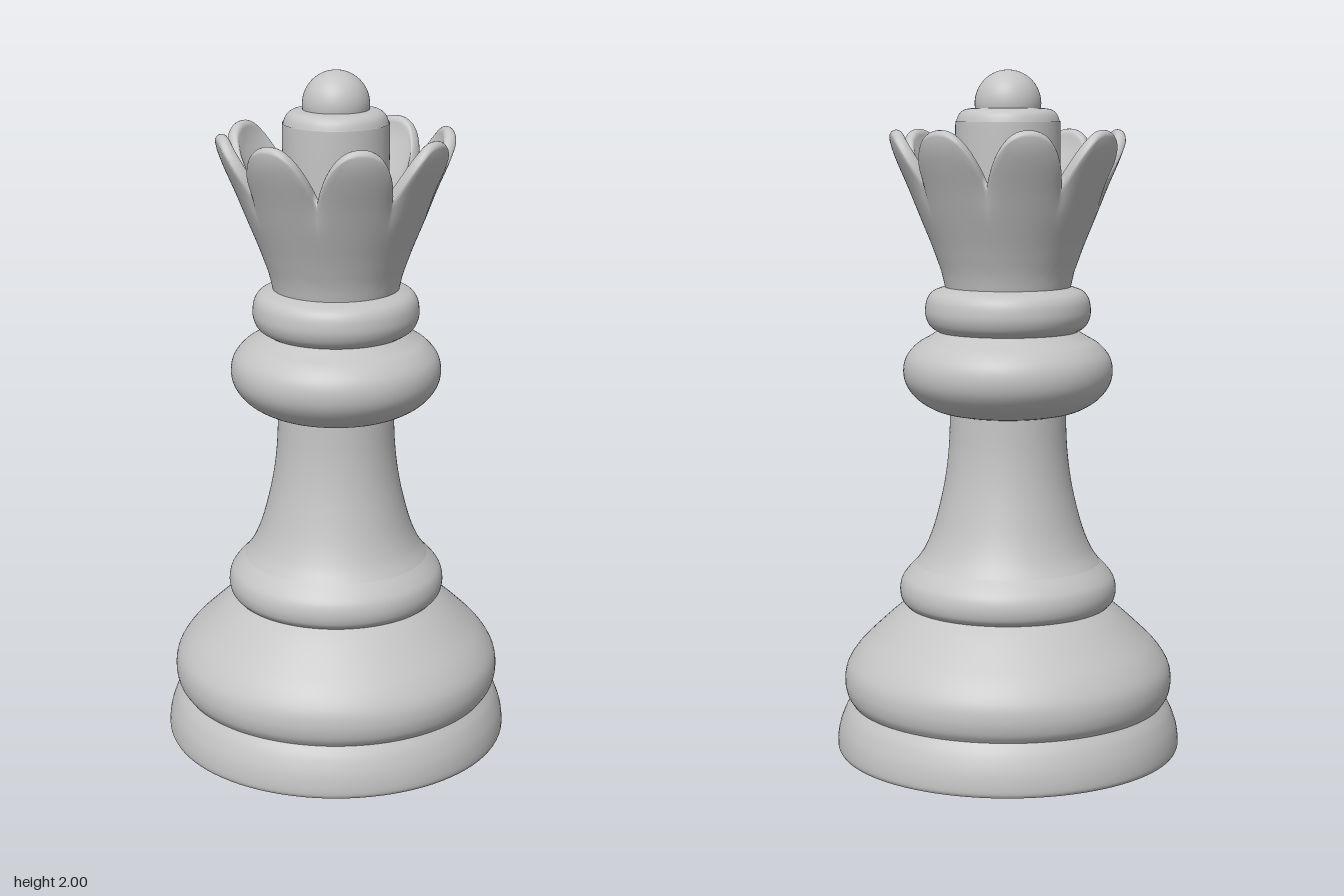
import * as THREE from 'three';

const SEGMENTS = 96;

// Turned part: a smooth curve through [radius, height] points, listed bottom to top
function turned(name, points, material, smooth = true) {
  let pts = points.map(([r, y]) => new THREE.Vector2(r, y));
  if (smooth) pts = new THREE.SplineCurve(pts).getPoints(points.length * 5);
  pts.forEach((p) => { p.x = Math.max(p.x, 0); });
  const mesh = new THREE.Mesh(new THREE.LatheGeometry(pts, SEGMENTS), material);
  mesh.name = name;
  return mesh;
}

// Flared crown wall whose rim is cut into rounded petals
function crownGeometry() {
  const petals = 8, perPetal = 24, cols = petals * perPetal;
  const bottom = 1.37, floor = 1.43, lip = 0.018;
  const flare = [[1.37, 0.182], [1.42, 0.193], [1.5, 0.222], [1.58, 0.255], [1.66, 0.287],
    [1.74, 0.322], [1.79, 0.34], [1.83, 0.344]];
  const radiusAt = (y) => {
    let k = 0;
    while (k < flare.length - 2 && y > flare[k + 1][0]) k++;
    const [y0, r0] = flare[k], [y1, r1] = flare[k + 1];
    return r0 + (r1 - r0) * (y - y0) / (y1 - y0);
  };
  const section = (s) => {
    // s runs from 0 at a notch to 1 at the middle of a petal
    const top = 1.68 + 0.15 * (1 - Math.pow(1 - s, 2.4));
    const shoulder = top - lip;
    const outer = (y) => radiusAt(y)
      - 0.014 * Math.pow(1 - s, 6) * THREE.MathUtils.smoothstep(y, 1.58, 1.7);
    const rows = [];
    for (let j = 0; j <= 16; j++) {
      const y = THREE.MathUtils.lerp(bottom, shoulder, j / 16);
      rows.push([outer(y), y]);
    }
    for (let j = 1; j < 8; j++) {
      const a = Math.PI * j / 8;
      rows.push([outer(shoulder) - lip + lip * Math.cos(a), shoulder + lip * Math.sin(a)]);
    }
    for (let j = 0; j <= 14; j++) {
      const y = THREE.MathUtils.lerp(shoulder, floor, j / 14);
      rows.push([outer(y) - 2 * lip, y]);
    }
    rows.push([0.1, floor]);
    return rows;
  };

  const positions = [], index = [];
  let rowCount = 0;
  for (let i = 0; i < cols; i++) {
    const theta = i / cols * Math.PI * 2;
    const u = (i % perPetal) / perPetal;
    const rows = section(1 - Math.abs(2 * u - 1));
    rowCount = rows.length;
    for (const [r, y] of rows) positions.push(r * Math.sin(theta), y, r * Math.cos(theta));
  }
  for (let i = 0; i < cols; i++) {
    for (let j = 0; j < rowCount - 1; j++) {
      const a = i * rowCount + j, b = ((i + 1) % cols) * rowCount + j;
      index.push(a, b, b + 1, a, b + 1, a + 1);
    }
  }
  const geometry = new THREE.BufferGeometry();
  geometry.setAttribute('position', new THREE.Float32BufferAttribute(positions, 3));
  geometry.setIndex(index);
  geometry.computeVertexNormals();
  return geometry;
}

export function createModel() {
  const group = new THREE.Group();
  group.name = 'chessQueen';
  const grey = new THREE.MeshStandardMaterial({ color: 0xc4c4c4 });
  grey.name = 'plain grey';

  // Foot
  group.add(
    turned('underside', [[0, 0], [0.505, 0]], grey, false),
    turned('footRim', [[0.505, 0], [0.51, 0.012], [0.509, 0.04], [0.502, 0.075],
      [0.486, 0.115], [0.466, 0.145]], grey),
    turned('baseBulge', [[0.466, 0.145], [0.481, 0.17], [0.487, 0.21], [0.478, 0.255],
      [0.445, 0.305], [0.395, 0.355], [0.34, 0.405], [0.302, 0.435]], grey),
  );

  // Lower ring flowing into the waisted stem
  group.add(
    turned('lowerRing', [[0.302, 0.435], [0.316, 0.452], [0.321, 0.48], [0.315, 0.51],
      [0.298, 0.535], [0.272, 0.562]], grey),
    turned('stem', [[0.272, 0.562], [0.247, 0.6], [0.222, 0.66], [0.2, 0.74],
      [0.184, 0.82], [0.174, 0.91], [0.17, 1.015]], grey),
  );

  // Collars
  group.add(
    turned('wideCollar', [[0.165, 1.005], [0.215, 1.018], [0.265, 1.048], [0.297, 1.088],
      [0.307, 1.13], [0.298, 1.172], [0.268, 1.208], [0.232, 1.23], [0.205, 1.247]], grey),
    turned('narrowCollar', [[0.205, 1.247], [0.227, 1.262], [0.239, 1.285], [0.242, 1.31],
      [0.236, 1.342], [0.218, 1.364], [0.18, 1.378]], grey),
  );

  // Petalled crown
  const crown = new THREE.Mesh(crownGeometry(), grey);
  crown.name = 'crown';
  group.add(crown);

  // Central post and ball inside the crown
  group.add(
    turned('crownPost', [[0.152, 1.42], [0.152, 1.6], [0.152, 1.83], [0.15, 1.85],
      [0.142, 1.872], [0.128, 1.885], [0.108, 1.89], [0.085, 1.891]], grey),
  );
  const ball = new THREE.Mesh(new THREE.SphereGeometry(0.096, 48, 32), grey);
  ball.name = 'finialBall';
  ball.position.y = 1.904;
  group.add(ball);

  return group;
}
